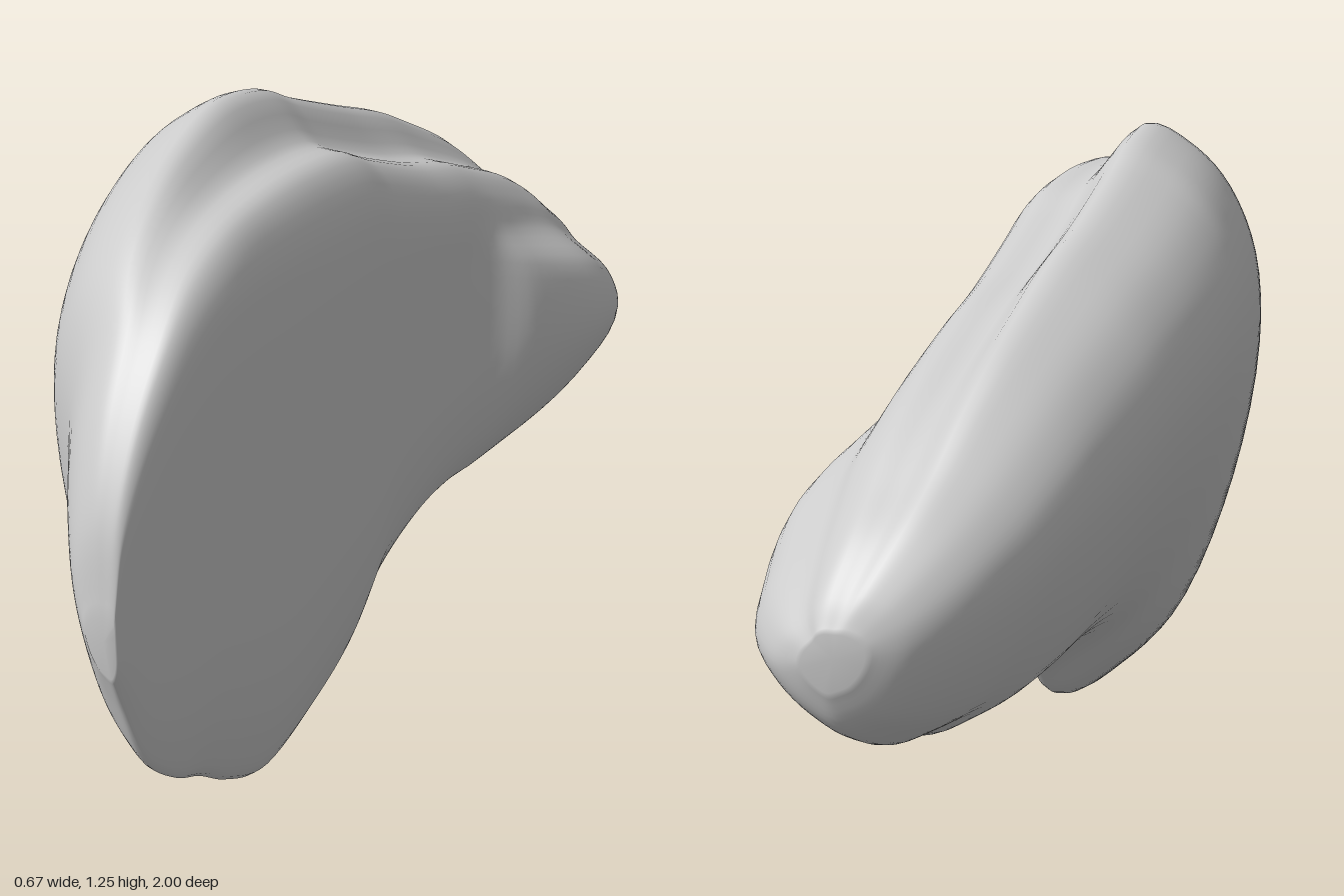
import * as THREE from 'three';

// Stations from front to back: z, bottom y, top y, dome x, flat face x, drop from crest to lip, side bulge
const STATIONS = [
  [1.0, 0.51, 0.62, 0.06, 0.115, 0, 0],
  [0.97, 0.44, 0.77, 0.02, 0.12, 0, 0],
  [0.9, 0.29, 0.91, -0.03, 0.13, 0, 0],
  [0.8, 0.2, 1.03, -0.09, 0.14, 0, 0],
  [0.7, 0.14, 1.11, -0.18, 0.145, 0.01, 0],
  [0.6, 0.07, 1.165, -0.235, 0.15, 0.03, 0],
  [0.45, 0.0, 1.215, -0.29, 0.15, 0.07, 0],
  [0.27, 0.02, 1.25, -0.325, 0.155, 0.11, 0],
  [0.1, 0.08, 1.23, -0.338, 0.158, 0.11, 0],
  [0.0, 0.17, 1.19, -0.336, 0.16, 0.11, 0],
  [-0.2, 0.235, 1.12, -0.318, 0.162, 0.11, 0],
  [-0.35, 0.25, 1.07, -0.295, 0.165, 0.1, 0.015],
  [-0.45, 0.25, 1.025, -0.275, 0.165, 0.09, 0.1],
  [-0.6, 0.26, 0.95, -0.235, 0.16, 0.07, 0.165],
  [-0.7, 0.29, 0.88, -0.2, 0.16, 0.05, 0.173],
  [-0.8, 0.315, 0.8, -0.155, 0.15, 0.03, 0.165],
  [-0.9, 0.36, 0.72, -0.095, 0.14, 0.015, 0.14],
  [-0.97, 0.41, 0.64, -0.02, 0.14, 0.01, 0.08],
  [-1.0, 0.48, 0.58, 0.05, 0.13, 0, 0.03],
];
const SIDES = 72, RINGS = 110;

// One closed cross-section: sharp keel, domed outer side, crest, shallow groove, lip, flat inner face
function section([z, y0, y1, xDome, xFlat, drop, bulge]) {
  const h = y1 - y0, w = xFlat - xDome;
  const at = (a, f, dy = 0, k = 0) =>
    new THREE.Vector3(xFlat - a * w + k * bulge, y0 + f * h - dy * drop, z);
  const loop = new THREE.CatmullRomCurve3([
    at(0.18, 0), at(0.4, 0.055), at(0.64, 0.16), at(0.88, 0.39), at(1, 0.64),
    at(0.97, 0.8), at(0.84, 0.91), at(0.68, 0.97), at(0.5, 1),
    at(0.32, 0.995, 0.75), at(0.14, 0.99, 0.85, 0.02), at(0.03, 0.94, 1, 0.08),
    at(0, 0.84, 0.8, 0.25), at(0, 0.65, 0, 0.8), at(0, 0.45, 0, 1),
    at(0.01, 0.25, 0, 0.72), at(0.08, 0.08, 0, 0.3),
  ], true, 'centripetal');
  return Array.from({ length: SIDES }, (_, j) => loop.getPoint(j / SIDES));
}

// Skin the sections along smooth lengthwise curves and close both ends
function loftBody() {
  const sections = STATIONS.map(section);
  const rails = Array.from({ length: SIDES }, (_, j) =>
    new THREE.CatmullRomCurve3(sections.map((s) => s[j]), false, 'centripetal'));
  const positions = [], index = [];
  for (let i = 0; i <= RINGS; i++) {
    for (const rail of rails) positions.push(...rail.getPoint(i / RINGS).toArray());
  }
  for (let i = 0; i < RINGS; i++) {
    for (let j = 0; j < SIDES; j++) {
      const k = (j + 1) % SIDES;
      const a = i * SIDES + j, b = i * SIDES + k, c = a + SIDES, d = b + SIDES;
      index.push(a, b, c, b, d, c);
    }
  }
  [0, RINGS].forEach((ring) => {
    const s = sections[ring ? sections.length - 1 : 0];
    const centre = s.reduce((sum, p) => sum.add(p), new THREE.Vector3()).divideScalar(SIDES);
    const tip = positions.length / 3;
    positions.push(...centre.toArray());
    for (let j = 0; j < SIDES; j++) {
      const a = ring * SIDES + j, b = ring * SIDES + ((j + 1) % SIDES);
      if (ring) index.push(a, b, tip);
      else index.push(b, a, tip);
    }
  });
  const geometry = new THREE.BufferGeometry();
  geometry.setAttribute('position', new THREE.Float32BufferAttribute(positions, 3));
  geometry.setIndex(index);
  geometry.computeVertexNormals();
  return geometry;
}

export function createModel() {
  const group = new THREE.Group();
  group.name = 'organicLobe';
  const body = new THREE.Mesh(loftBody(), new THREE.MeshStandardMaterial({ color: 0xcccccc }));
  body.name = 'lobeBody';
  group.add(body);
  return group;
}
